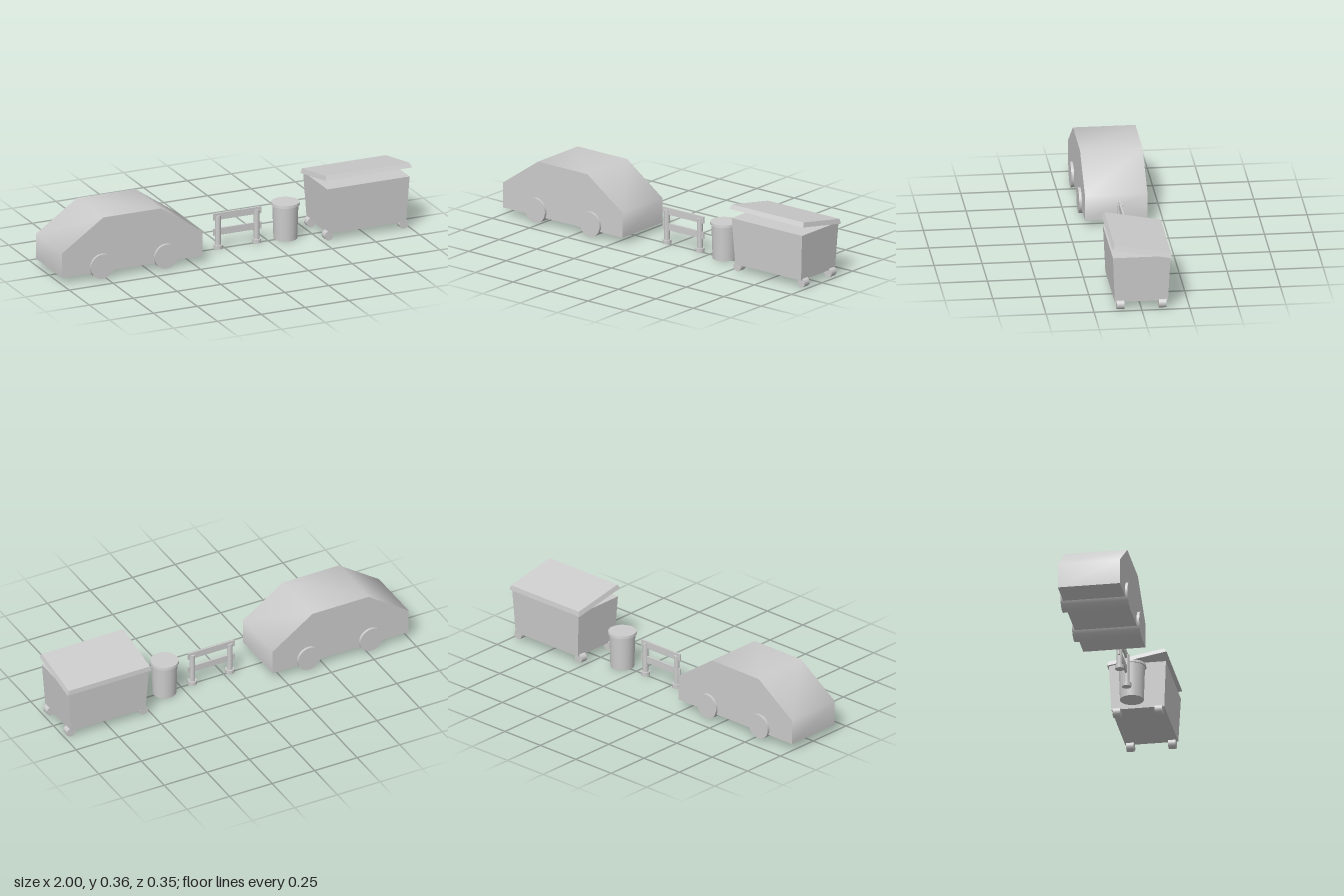
import * as THREE from 'three';
import { toCreasedNormals } from 'three/addons/utils/BufferGeometryUtils.js';

const material = new THREE.MeshStandardMaterial({ color: 0xcccccc });

function add(parent, name, geometry, x = 0, y = 0, z = 0) {
  const mesh = new THREE.Mesh(geometry, material);
  mesh.name = name;
  mesh.position.set(x, y, z);
  parent.add(mesh);
  return mesh;
}

function group(parent, name, x = 0) {
  const g = new THREE.Group();
  g.name = name;
  g.position.x = x;
  parent.add(g);
  return g;
}

// Box whose top differs in size from its bottom, standing on y = 0
function taperedBox(bottomW, bottomD, topW, topD, height) {
  const geo = new THREE.BoxGeometry(1, height, 1);
  const p = geo.attributes.position;
  for (let i = 0; i < p.count; i++) {
    const top = p.getY(i) > 0;
    p.setX(i, p.getX(i) * (top ? topW : bottomW));
    p.setZ(i, p.getZ(i) * (top ? topD : bottomD));
  }
  geo.translate(0, height / 2, 0);
  geo.computeVertexNormals();
  return geo;
}

// Cylinder lying along z
const roller = (radius, width) =>
  new THREE.CylinderGeometry(radius, radius, width, 32).rotateX(Math.PI / 2);

function buildCar(parent) {
  const car = group(parent, 'car', -0.6);
  const outline = [[-0.4, 0.04], [0.4, 0.04], [0.4, 0.175], [0.165, 0.338], [-0.165, 0.338], [-0.4, 0.175]];
  const shape = new THREE.Shape(outline.map(([x, y]) => new THREE.Vector2(x, y)));
  const body = new THREE.ExtrudeGeometry(shape, { depth: 0.326, bevelEnabled: false });
  body.translate(0, 0, -0.163);
  add(car, 'carBody', toCreasedNormals(body, 1.0));
  // each pair of wheels is one full-width roller
  for (const x of [-0.175, 0.19]) add(car, 'wheelPair', roller(0.067, 0.354), x, 0.073);
}

function buildBarrier(parent) {
  const barrier = group(parent, 'barrier', 0.074);
  for (const y of [0.18, 0.096]) add(barrier, 'plank', new THREE.BoxGeometry(0.274, 0.037, 0.01), 0, y);
  for (const side of [-1, 1]) {
    const x = side * 0.11;
    add(barrier, 'post', new THREE.CylinderGeometry(0.015, 0.015, 0.18, 24), x, 0.095);
    add(barrier, 'foot', new THREE.CylinderGeometry(0.024, 0.024, 0.021, 24), x, 0.0145);
  }
}

function buildTrashCan(parent) {
  const can = group(parent, 'trashCan', 0.348);
  add(can, 'canBody', new THREE.CylinderGeometry(0.068, 0.062, 0.186, 40), 0, 0.097);
  add(can, 'canLid', new THREE.CylinderGeometry(0.073, 0.075, 0.014, 40), 0, 0.196);
}

function buildDumpster(parent) {
  const dumpster = group(parent, 'dumpster', 0.753);
  add(dumpster, 'bin', taperedBox(0.44, 0.278, 0.47, 0.3, 0.25), 0, 0.043);
  // lid tilts down towards the back
  const lid = add(dumpster, 'dumpsterLid', taperedBox(0.494, 0.317, 0.478, 0.3, 0.0245), 0, 0.3135, -0.001);
  lid.rotation.x = -Math.atan2(0.058, 0.312);
  for (const x of [-0.215, 0.212])
    for (const z of [-0.11, 0.11]) add(dumpster, 'caster', roller(0.025, 0.04), x, 0.027, z);
}

export function createModel() {
  const model = new THREE.Group();
  model.name = 'streetSet';
  buildCar(model);
  buildBarrier(model);
  buildTrashCan(model);
  buildDumpster(model);
  return model;
}
